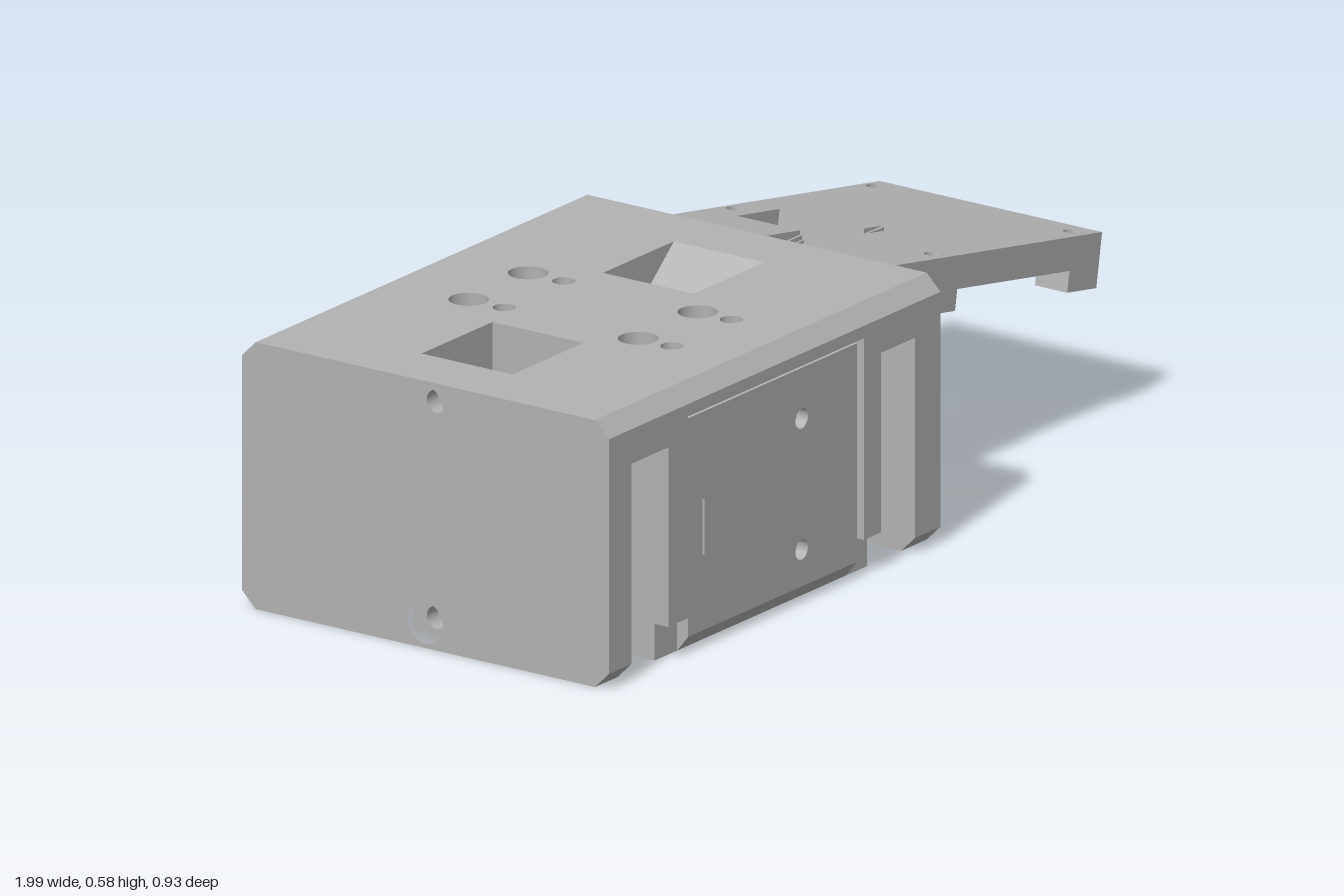
import * as THREE from 'three';
import { ConvexGeometry } from 'three/addons/geometries/ConvexGeometry.js';

const plastic = new THREE.MeshStandardMaterial({ color: 0xb2b2b2 });
plastic.name = 'grey plastic';

// Closed shape from points, with circles [x, y, r] or point lists as holes
function outline(pts, holes = []) {
  const s = new THREE.Shape(pts.map(p => new THREE.Vector2(p[0], p[1])));
  for (const h of holes) {
    const path = new THREE.Path();
    if (typeof h[0] === 'number') path.absarc(h[0], h[1], h[2], 0, Math.PI * 2, true);
    else path.setFromPoints(h.map(p => new THREE.Vector2(p[0], p[1])));
    s.holes.push(path);
  }
  return s;
}
const rect = (a, b, c, d) => [[a, c], [b, c], [b, d], [a, d]];
const extrude = (shape, depth) =>
  new THREE.ExtrudeGeometry(shape, { depth, bevelEnabled: false, curveSegments: 20 });

// Section in (z, y) swept along x
function alongX(pts, x0, x1, holes = []) {
  const s = outline(pts.map(([z, y]) => [-z, y]), holes);
  return extrude(s, x1 - x0).rotateY(Math.PI / 2).translate(x0, 0, 0);
}
// Section in (x, z) swept along y
const alongY = (pts, y0, y1, holes = []) =>
  extrude(outline(pts, holes), y1 - y0).rotateX(Math.PI / 2).translate(0, y1, 0);
// Section in (x, y) swept along z
const alongZ = (pts, z0, z1, holes = []) =>
  extrude(outline(pts, holes), z1 - z0).translate(0, 0, z0);

export function createModel() {
  const model = new THREE.Group();
  model.name = 'actuatorHousing';
  const add = (name, geometry, parent = model) => {
    const m = new THREE.Mesh(geometry, plastic);
    m.name = name;
    parent.add(m);
    return m;
  };
  const ring = (x, y, r) => [x, y, r];

  // End plates with counterbored screw holes
  const W = 0.465, C = 0.035, H = 0.58, screwY = [0.055, 0.525];
  const octagon = [[-W + C, 0], [W - C, 0], [W, C], [W, H - C], [W - C, H], [-W + C, H], [-W, H - C], [-W, C]];
  for (const [x0, x1, p0, p1] of [[-1, -0.92, -0.96, -0.92], [0.08, 0.17, 0.08, 0.13]]) {
    add('endPlate', alongX(octagon, x0, x1, screwY.map(y => ring(0, y, 0.045))));
    for (const y of screwY) {
      const disc = new THREE.Shape().absarc(0, 0, 0.045, 0, Math.PI * 2);
      disc.holes.push(new THREE.Path().absarc(0, 0, 0.025, 0, Math.PI * 2, true));
      add('screwSeat', extrude(disc, p1 - p0).rotateY(Math.PI / 2).translate(p0, y, 0));
    }
  }

  // Top slab with two pockets and the screw pattern
  const pocketL = rect(-0.86, -0.61, -0.11, 0.12), pocketR = rect(-0.22, 0.03, -0.11, 0.12);
  const bores = [];
  for (const x of [-0.52, -0.31]) {
    for (const z of [-0.235, 0.195]) bores.push([x, z, 0.042]);
    for (const z of [-0.145, 0.28]) bores.push([x, z, 0.024]);
  }
  add('topSlab', alongY(rect(-0.92, 0.08, -0.43, 0.43), 0.47, H, [pocketL, pocketR, ...bores]));
  for (const [x, z, r] of bores) {
    if (r < 0.03) continue;
    const seat = new THREE.Shape().absarc(x, z, r, 0, Math.PI * 2);
    seat.holes.push(new THREE.Path().absarc(x, z, 0.026, 0, Math.PI * 2, true));
    add('boreSeat', extrude(seat, 0.06).rotateX(Math.PI / 2).translate(0, 0.545, 0));
  }
  add('pocketRampRight', alongZ([[-0.86, H], [-0.86, 0.46], [-0.72, 0.46]], -0.11, 0.12));
  add('pocketRampLeft', alongZ([[0.03, H], [-0.11, 0.46], [0.03, 0.46]], -0.11, 0.12));

  // Chamfered long edges of the slab; the front one clears the lid
  const slabEdge = (s, y) => [[s * 0.43, H], [s * W, H - C], [s * W, y], [s * 0.43, y]];
  add('slabEdgeBack', alongX(slabEdge(-1, 0.47), -0.92, 0.08));
  add('slabEdgeFront', alongX(slabEdge(1, 0.47), -0.92, -0.72));
  add('slabEdgeFront', alongX(slabEdge(1, 0.518), -0.72, -0.1));
  add('slabEdgeFront', alongX(slabEdge(1, 0.47), -0.1, 0.08));

  // Centre block with the cable shaft and bottom holes
  const shaft = rect(-0.72, -0.65, 0, 0.12);
  const bottomHoles = bores.filter(b => b[2] > 0.03).map(([x, z]) => [x, z, 0.02]);
  add('centreBlock', alongY(rect(-0.79, -0.04, -0.43, 0.43), 0.05, 0.47, [shaft]));
  add('bottomPlate', alongY(rect(-0.79, -0.04, -0.43, 0.43), 0, 0.05, [shaft, ...bottomHoles]));
  add('backWall', alongX([[-0.43, 0], [-W, C], [-W, 0.47], [-0.43, 0.47]], -0.79, -0.04));
  for (const [a, b] of [[-0.79, -0.72], [-0.1, -0.04]]) {
    add('frontStrip', alongX(rect(0.43, W, 0.08, 0.47), a, b));
  }

  // Front lid with two screw holes and a slit
  add('lid', alongZ(rect(-0.71, -0.115, C, 0.51), 0.43, 0.458,
    [[-0.31, 0.4, 0.022], [-0.31, 0.115, 0.022], rect(-0.659, -0.653, 0.2, 0.32)]));
  add('lidChamfer', alongX([[0.43, 0], [0.458, C], [0.43, C]], -0.71, -0.115));

  // Bridges and hubs in the two side slots
  for (const [a, b, hubX, turn] of [[-0.92, -0.79, -0.812, 1], [-0.04, 0.08, -0.018, -1]]) {
    add('lowerBridge', alongX(rect(-0.09, 0.09, 0.001, 0.11), a, b));
    add('upperBridge', alongX([[-0.25, 0.47], [-0.15, 0.4], [0.15, 0.4], [0.25, 0.47]], a, b));
    const hub = new THREE.CylinderGeometry(0.08, 0.1, 0.05, 40).rotateZ(turn * Math.PI / 2);
    add('hub', hub.translate(hubX, 0.255, 0));
  }

  // Flared wedge carrying the arm, split by the screw channels
  const r = 0.045, topY = x => 0.543 - 0.1745 * (x - 0.25);
  for (const s of [-1, 1]) {
    const pts = [[0.17, 0.04, 0.355], [0.17, 0.48, 0.355], [0.17, 0.548, 0.28], [0.25, 0.543, 0.28],
      [0.25, 0.2, 0.28], [0.17, 0.04, r], [0.17, 0.548, r], [0.25, 0.543, r], [0.25, 0.2, r]];
    add('flare', new ConvexGeometry(pts.map(([x, y, z]) => new THREE.Vector3(x, y, s * z))));
    const web = [[0.25, 0.2], [0.35, 0.4], [0.385, 0.45], [0.385, 0.51], [0.25, 0.533]];
    add('wedge', alongZ(web, s > 0 ? r : -0.28, s > 0 ? 0.28 : -r));
  }
  // Strips whose upper and lower faces follow the round channels
  const n = 18;
  for (let i = 0; i < n; i++) {
    const z0 = -r + 2 * r * i / n, z1 = z0 + 2 * r / n, z = (z0 + z1) / 2;
    const half = Math.sqrt(r * r - z * z);
    const floor = 0.525 - half, roof = 0.055 + half;
    const reach = 0.25 + (0.543 - floor) / 0.1745;
    const end = z < 0.01 ? 0.385 : Math.min(reach, 0.6);
    add('channelStrip', alongZ([[0.17, roof], [0.17 + (roof - 0.04) / 2, roof], [0.35, 0.4],
      [0.385, 0.45], [end, topY(end) - 0.07], [end, Math.min(floor, topY(end))], [0.17, floor]], z0, z1));
  }

  // Sloping arm plate with window, screw holes and four feet
  const arm = new THREE.Group();
  arm.name = 'arm';
  arm.position.set(0.25, 0.543, 0);
  arm.rotation.z = -0.1728;
  model.add(arm);
  const plan = [[0, -0.282], [0.756, -0.282], [0.756, 0.282], [0, 0.282], [0, r], [0.35, r], [0.35, 0.01],
    [0.289, 0.01], [0.289, -0.205], [0.137, -0.205], [0.137, -r], [0, -r]];
  const corners = [];
  for (const u of [0.2, 0.7]) for (const z of [-0.25, 0.25]) corners.push([u, z, 0.022]);
  add('armPlate', alongY(plan, -0.072, 0, corners), arm);
  for (const [u, z, hr] of corners) {
    const [a, b] = u < 0.5 ? [0.09, 0.25] : [0.652, 0.756];
    const [c, d] = z < 0 ? [-0.282, -0.2] : [0.2, 0.282];
    add('foot', alongY(rect(a, b, c, d), -0.118, -0.072, [[u, z, hr]]), arm);
  }
  return model;
}
